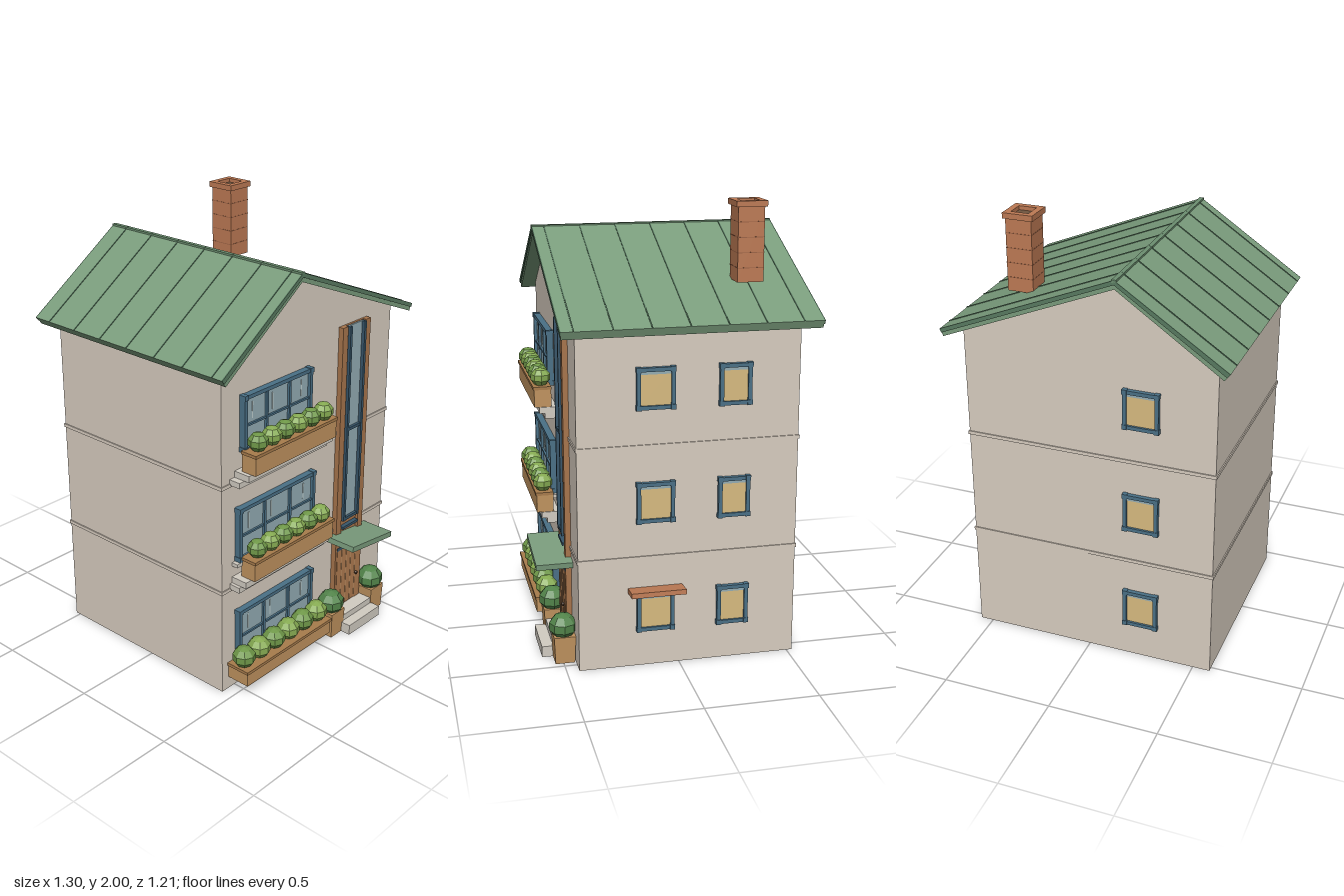
import * as THREE from 'three';

const mats = {};
const mat = (color) => (mats[color] ??= new THREE.MeshStandardMaterial({ color, flatShading: true }));

const WALL = 0xd8cdc0, STONE = 0xd2ccc2, ROOF = 0x7a9c7c, SEAM = 0x587a60, FRAME = 0x4a7086, DARKFRAME = 0x38566a;
const GLASS = 0x94adb4, WARM = 0xd8bb80, WOOD = 0xc0935f, TIMBER = 0xa8754c, DOOR = 0xb07c50, BRICK = 0xbd7a54;

function add(parent, name, geometry, color) {
  const m = new THREE.Mesh(geometry, mat(color));
  m.name = name;
  parent.add(m);
  return m;
}

// Box given by its extents on each axis
function box(parent, name, color, [x0, x1], [y0, y1], [z0, z1]) {
  const m = add(parent, name, new THREE.BoxGeometry(x1 - x0, y1 - y0, z1 - z0), color);
  m.position.set((x0 + x1) / 2, (y0 + y1) / 2, (z0 + z1) / 2);
  return m;
}

function group(parent, name) {
  const g = new THREE.Group();
  g.name = name;
  parent.add(g);
  return g;
}

function prism(points, z0, z1) {
  const shape = new THREE.Shape(points.map((p) => new THREE.Vector2(...p)));
  return new THREE.ExtrudeGeometry(shape, { depth: z1 - z0, bevelEnabled: false }).translate(0, 0, z0);
}

// Framed window facing +z, centred on its local origin
function makeWindow(parent, name, w, h, depth, glass) {
  const g = group(parent, name), t = 0.017, a = w / 2, b = h / 2;
  box(g, 'glass', glass, [-a + t / 2, a - t / 2], [-b + t / 2, b - t / 2], [0, depth * 0.45]);
  for (const s of [-1, 1]) {
    const x = s * (a - t / 2), y = s * (b - t / 2);
    box(g, 'jamb', FRAME, [x - t / 2, x + t / 2], [-b, b], [0, depth * 0.9]);
    box(g, 'rail', FRAME, [-a, a], [y - t / 2, y + t / 2], [0, depth * 0.9]);
    for (const k of [-1, 1]) {
      const cy = k * (b - t / 2), c = t * 0.65;
      box(g, 'cornerBlock', FRAME, [x - c, x + c], [cy - c, cy + c], [0, depth]);
    }
  }
  return g;
}

function bush(parent, x, y, z, r, color) {
  const m = add(parent, 'bush', new THREE.SphereGeometry(r, 8, 5), color);
  m.position.set(x, y, z);
  m.scale.y = 0.92;
}

// Planter box with a rim and a row of six bushes
function planter(parent, x0, x1, y0, y1, z0, z1, bushX0, step, r) {
  const g = group(parent, 'planter');
  box(g, 'planterBox', WOOD, [x0 + 0.005, x1 - 0.005], [y0, y1 - 0.012], [z0, z1 - 0.005]);
  box(g, 'planterRim', 0xa87c4c, [x0, x1], [y1 - 0.014, y1], [z0, z1]);
  for (let i = 0; i < 6; i++)
    bush(g, bushX0 + i * step, y1 + r * 0.75, (z0 + z1) / 2, r, i % 2 ? 0x86ab52 : 0x6f9848);
}

export function createModel() {
  const house = new THREE.Group();
  house.name = 'house';

  // Walls and floor bands
  add(house, 'walls', prism([[-0.58, 0], [0.56, 0], [0.56, 1.515], [-0.16, 1.815], [-0.58, 1.52]], -0.525, 0.445), WALL);
  for (const y of [0.5, 1.0])
    box(house, 'floorBand', WALL, [-0.585, 0.565], [y - 0.004, y + 0.012], [-0.53, 0.45]);

  // Roof with standing seams, rake trim and ridge
  const roof = group(house, 'roof');
  const ridge = [-0.16, 1.85], eaves = [[-0.648, 1.524], [0.63, 1.524]];
  const under = [[-0.622, 1.49], [-0.16, 1.81], [0.617, 1.49]];
  add(roof, 'roofSlabs', prism([eaves[0], ...under, eaves[1], ridge], -0.6, 0.51), ROOF);
  const trim = [eaves[0], [-0.635, 1.507], [-0.16, 1.83], [0.623, 1.507], eaves[1], ridge];
  for (const [z0, z1] of [[-0.605, -0.6], [0.51, 0.515]])
    add(roof, 'rakeTrim', prism(trim, z0, z1), SEAM);
  for (const [ex, ey] of eaves) {
    const dx = ex - ridge[0], dy = ey - ridge[1];
    for (let i = 0; i < 7; i++) {
      const seam = add(roof, 'seam', new THREE.BoxGeometry(Math.hypot(dx, dy), 0.006, 0.005), SEAM);
      seam.position.set(ridge[0] + dx / 2, ridge[1] + dy / 2, -0.515 + i * 0.1622);
      seam.rotation.z = Math.atan(dy / dx);
    }
  }
  box(roof, 'ridgeCap', 0x6c8f70, [-0.17, -0.15], [1.838, 1.852], [-0.605, 0.515]);

  // Chimney: brick stack, thin mortar courses and an open cap
  const chimney = group(house, 'chimney');
  box(chimney, 'stack', BRICK, [0.283, 0.4], [1.655, 1.978], [-0.403, -0.287]);
  for (let i = 0; i < 4; i++)
    box(chimney, 'course', 0x9c6244, [0.282, 0.401], [1.715 + i * 0.065, 1.718 + i * 0.065], [-0.404, -0.286]);
  const cap = new THREE.Shape([[-1, -1], [1, -1], [1, 1], [-1, 1]].map(([x, y]) => new THREE.Vector2(x * 0.068, y * 0.068)));
  cap.holes.push(new THREE.Path([[-1, -1], [-1, 1], [1, 1], [1, -1]].map(([x, y]) => new THREE.Vector2(x * 0.04, y * 0.04))));
  const capMesh = add(chimney, 'chimneyCap', new THREE.ExtrudeGeometry(cap, { depth: 0.025, bevelEnabled: false }).rotateX(-Math.PI / 2), BRICK);
  capMesh.position.set(0.341, 1.975, -0.345);
  box(chimney, 'flue', 0x6f553f, [0.302, 0.38], [1.97, 1.983], [-0.384, -0.306]);

  // Front windows: three panes, a lower bar and pale glints
  for (const [x0, x1, y1] of [[-0.497, 0.007, 0.385], [-0.497, 0.007, 0.885], [-0.468, -0.03, 1.39]]) {
    const w = x1 - x0, g = makeWindow(house, 'frontWindow', w, 0.25, 0.033, GLASS);
    g.position.set((x0 + x1) / 2, y1 - 0.125, 0.445);
    for (const s of [-1, 1]) box(g, 'mullion', FRAME, [s * w / 6 - 0.006, s * w / 6 + 0.006], [-0.125, 0.125], [0, 0.026]);
    box(g, 'crossBar', FRAME, [-w / 2, w / 2], [-0.015, -0.006], [0, 0.024]);
    for (const x of [-0.36, -0.07, 0.36])
      box(g, 'glint', 0xc0d2d2, [x * w - 0.003, x * w + 0.003], [0.01, 0.085], [0, 0.017]);
  }

  // Planters and the stone ledges below the upper ones
  planter(house, -0.545, 0.045, 0.06, 0.135, 0.445, 0.563, -0.502, 0.1005, 0.054);
  for (const [y, xs] of [[0.505, [-0.515, 0.055]], [1.005, [-0.5, 0.055]]]) {
    planter(house, -0.487, 0.055, y + 0.055, y + 0.15, 0.47, 0.552, -0.427, 0.0856, 0.046);
    box(house, 'upperLedge', STONE, xs, [y + 0.026, y + 0.055], [0.445, 0.525]);
    box(house, 'lowerLedge', STONE, [-0.53, 0.05], [y, y + 0.026], [0.445, 0.5]);
  }
  box(house, 'sill', STONE, [-0.515, 0.02], [0.613, 0.63], [0.445, 0.475]);

  // Side and back windows on every floor
  for (let floor = 0; floor < 3; floor++) {
    const y = 0.257 + floor * 0.5;
    for (const [name, w, x, z, turn] of [
      ['sideWindow', 0.165, 0.56, 0.107, Math.PI / 2],
      ['sideWindow', 0.14, 0.56, -0.238, Math.PI / 2],
      ['backWindow', 0.16, -0.25, -0.525, Math.PI]]) {
      const g = makeWindow(house, name, w, 0.18, 0.022, WARM);
      box(g, 'blind', GLASS, [-w / 2 + 0.015, w / 2 - 0.015], [0.06, 0.078], [0, 0.012]);
      g.position.set(x, y, z);
      g.rotation.y = turn;
    }
  }

  // Timber entrance bay with a tall stair window
  const bay = group(house, 'entranceBay');
  box(bay, 'bayPanel', TIMBER, [0.18, 0.378], [0.08, 1.51], [0.445, 0.456]);
  for (const [x0, x1] of [[0.18, 0.215], [0.343, 0.378]])
    box(bay, 'bayPost', TIMBER, [x0, x1], [0.08, 1.51], [0.445, 0.47]);
  box(bay, 'tallGlass', GLASS, [0.228, 0.328], [0.55, 1.508], [0.45, 0.464]);
  for (const x of [0.22, 0.322]) box(bay, 'tallJamb', DARKFRAME, [x, x + 0.014], [0.545, 1.508], [0.45, 0.48]);
  for (const y of [0.545, 1.005]) box(bay, 'tallRail', DARKFRAME, [0.22, 0.336], [y, y + 0.014], [0.45, 0.477]);
  box(bay, 'smallRail', DARKFRAME, [0.222, 0.336], [0.5, 0.513], [0.45, 0.477]);
  box(bay, 'doorHeader', DARKFRAME, [0.19, 0.368], [0.39, 0.408], [0.45, 0.472]);

  // Plank door with a knob
  const door = group(house, 'door');
  box(door, 'doorLeaf', DOOR, [0.192, 0.366], [0.085, 0.392], [0.45, 0.472]);
  for (let i = 1; i < 5; i++)
    box(door, 'plankLine', 0xc79a6c, [0.19 + i * 0.035, 0.193 + i * 0.035], [0.09, 0.388], [0.46, 0.4735]);
  add(door, 'doorKnob', new THREE.SphereGeometry(0.009, 8, 6), 0x4a3526).position.set(0.336, 0.222, 0.478);

  // Entrance steps
  box(house, 'topStep', STONE, [0.17, 0.385], [0.05, 0.08], [0.445, 0.535]);
  box(house, 'lowerStep', STONE, [0.157, 0.392], [0, 0.05], [0.445, 0.585]);

  // Flared pots with round shrubs beside the door
  for (const x of [0.124, 0.43]) {
    const pot = add(house, 'pot', new THREE.CylinderGeometry(0.068, 0.061, 0.125, 4).rotateY(Math.PI / 4), WOOD);
    pot.position.set(x, 0.0625, 0.493);
    bush(house, x, 0.163, 0.495, 0.064, 0x52844a);
  }

  // Tilted canopies over the door and a side window
  const canopy = box(house, 'doorCanopy', ROOF, [0.13, 0.43], [0.448, 0.474], [0.445, 0.607]);
  canopy.rotation.z = -0.125;
  const awning = box(house, 'sideAwning', BRICK, [0.555, 0.645], [0.35, 0.372], [-0.013, 0.228]);
  awning.rotation.z = 0.1;

  return house;
}
